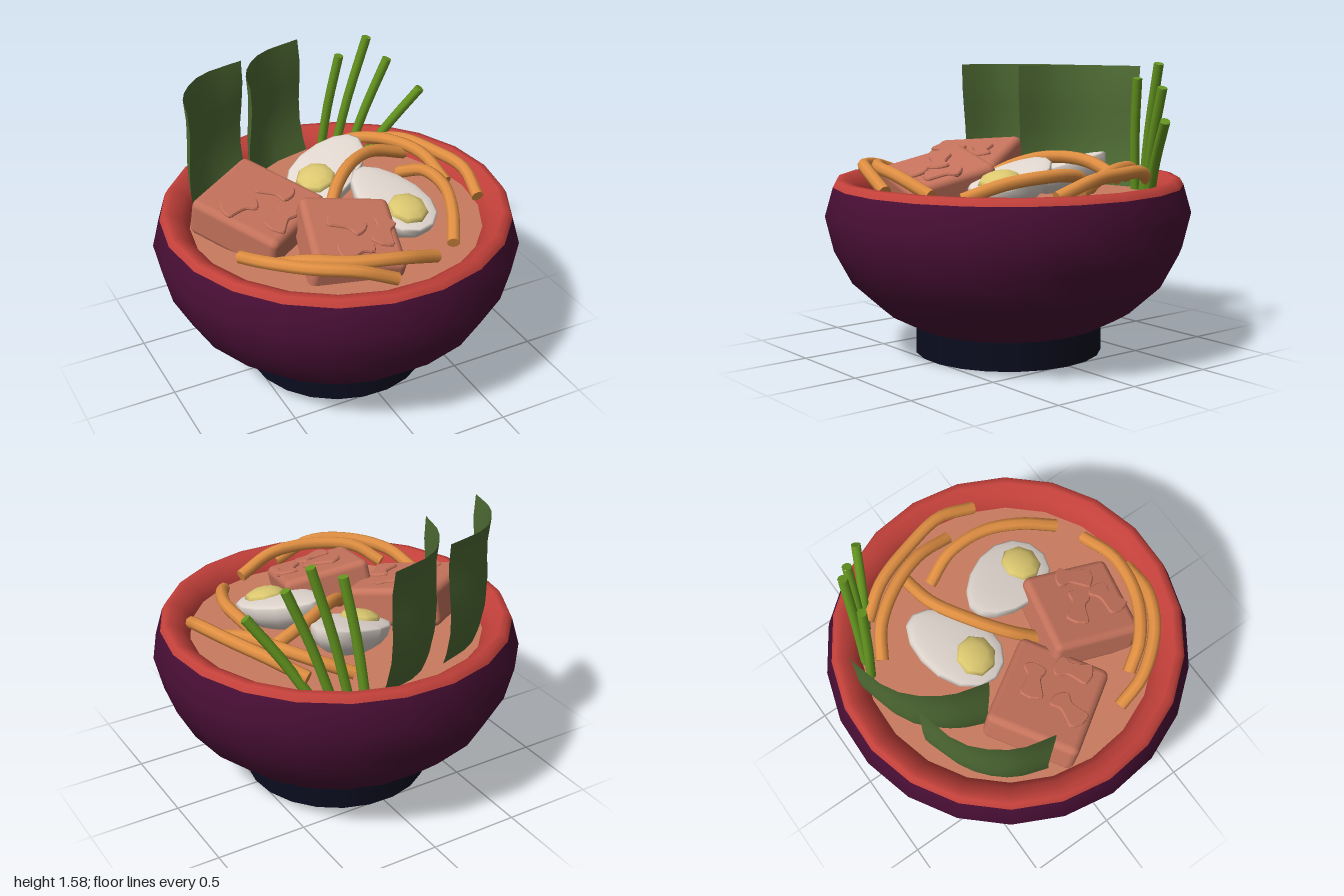
import * as THREE from 'three';
import { RoundedBoxGeometry } from 'three/addons/geometries/RoundedBoxGeometry.js';

const mat = (name, color, side = THREE.FrontSide) => {
  const m = new THREE.MeshStandardMaterial({ color, side });
  m.name = name;
  return m;
};
const V = (p) => new THREE.Vector3(...p);
const UP = new THREE.Vector3(0, 1, 0);

export function createModel() {
  const model = new THREE.Group();
  model.name = 'noodleBowl';
  const M = {
    lacquer: mat('plum lacquer', 0x4a0f36),
    foot: mat('dark navy', 0x0b0c1e),
    rim: mat('red lining', 0xc2403a),
    broth: mat('broth', 0xc97a5f),
    pork: mat('pork', 0xc5735c),
    noodle: mat('noodle', 0xe08f42),
    nori: mat('seaweed green', 0x4f6b34, THREE.DoubleSide),
    onion: mat('spring onion green', 0x64951f),
    white: mat('egg white', 0xe2d8d0),
    yolk: mat('egg yolk', 0xdcc870),
  };
  const add = (name, geo, material, parent = model) => {
    const mesh = new THREE.Mesh(geo, material);
    mesh.name = name;
    parent.add(mesh);
    return mesh;
  };

  // Bowl, foot and lining share one set of sides
  const SIDES = 22, START = 0.113;
  const lathe = (pts) =>
    new THREE.LatheGeometry(pts.map((p) => new THREE.Vector2(...p)), SIDES, START);
  add('bowl', lathe([[0.5, 0.15], [0.52, 0.155], [0.69, 0.245], [0.86, 0.4], [0.955, 0.58],
    [1, 0.77], [0.955, 0.925]]), M.lacquer);
  add('footWall', lathe([[0.515, 0], [0.512, 0.165]]), M.foot);
  add('footBase', lathe([[0, 0], [0.515, 0]]), M.foot);
  add('rimLining', lathe([[0.955, 0.925], [0.935, 0.96], [0.9, 0.962], [0.84, 0.925],
    [0.8, 0.87], [0.78, 0.8]]), M.rim);
  add('broth', lathe([[0.8, 0.86], [0, 0.86]]), M.broth);

  // A group lying on a sloped plane, turned by yaw
  const tilted = (name, pos, normal, yaw) => {
    const g = new THREE.Group();
    g.name = name;
    g.position.set(...pos);
    g.quaternion.setFromUnitVectors(UP, V(normal).normalize())
      .multiply(new THREE.Quaternion().setFromAxisAngle(UP, yaw));
    model.add(g);
    return g;
  };

  // Pork slabs with raised bone-shaped marks
  const bone = new THREE.Shape();
  bone.setFromPoints(new THREE.SplineCurve([[-0.1, 0], [-0.08, 0.055], [-0.03, 0.045], [0.03, 0.035],
    [0.08, 0.06], [0.1, 0.01], [0.075, -0.05], [0.02, -0.03], [-0.04, -0.045], [-0.085, -0.055],
    [-0.1, 0]].map((p) => new THREE.Vector2(...p))).getPoints(30));
  const markGeo = new THREE.ExtrudeGeometry(bone, { depth: 0.012, bevelEnabled: true,
    bevelThickness: 0.008, bevelSize: 0.006, bevelSegments: 1 }).rotateX(-Math.PI / 2);
  const pork = (name, pos, normal, yaw, w, d, marks) => {
    const g = tilted(name, pos, normal, yaw);
    add('slab', new RoundedBoxGeometry(w, 0.22, d, 2, 0.04), M.pork, g).position.y = -0.11;
    const c = Math.cos(yaw), s = Math.sin(yaw);
    for (const [dx, dz, turn] of marks) {
      const m = add('mark', markGeo, M.pork, g);
      m.position.set(dx * c - dz * s, -0.005, dx * s + dz * c);
      m.rotation.y = turn - yaw;
    }
  };
  pork('backPork', [-0.43, 1.07, -0.04], [0.05, 1, 0.22], 0.58, 0.51, 0.54,
    [[-0.13, 0.03, 0.05], [0.1, -0.03, -0.8], [0.04, 0.19, 0.65]]);
  pork('frontPork', [-0.11, 1.04, 0.41], [0.1, 1, 0.28], -0.25, 0.49, 0.5,
    [[-0.02, -0.04, -0.75], [0.15, 0.06, 1.0], [-0.05, 0.14, 0.15]]);

  // Egg halves: sphere flattened on top and narrowed toward the tip (-z)
  const eggGeo = new THREE.SphereGeometry(1, 14, 10);
  const ep = eggGeo.attributes.position;
  for (let i = 0; i < ep.count; i++) {
    const x = ep.getX(i), y = ep.getY(i), z = ep.getZ(i);
    ep.setXYZ(i, x * 0.19 * (1 + 0.17 * z), y > 0 ? y * 0.025 : y * 0.16, z * 0.285);
  }
  eggGeo.computeVertexNormals();
  const yolkGeo = new THREE.SphereGeometry(0.115, 8, 6).scale(1, 0.42, 1);
  const egg = (name, pos, normal, yaw) => {
    const g = tilted(name, pos, normal, yaw);
    add('white', eggGeo, M.white, g);
    add('yolk', yolkGeo, M.yolk, g).position.set(0, 0.015, 0.12);
  };
  egg('backEgg', [0.09, 1.01, -0.28], [-0.22, 1, 0.2], -1.05);
  egg('frontEgg', [0.25, 1.0, 0.17], [0.05, 1, 0.26], 0.27);

  // Round strand with closed ends
  const strand = (name, pts, r, material, steps) => {
    const g = new THREE.Group();
    g.name = name;
    model.add(g);
    const curve = new THREE.CatmullRomCurve3(pts.map(V));
    add('strand', new THREE.TubeGeometry(curve, steps, r, 8), material, g);
    for (const t of [0, 1]) {
      const cap = add('end', new THREE.CircleGeometry(r, 8), material, g);
      cap.position.copy(curve.getPoint(t));
      cap.quaternion.setFromUnitVectors(new THREE.Vector3(0, 0, 1),
        curve.getTangent(t).multiplyScalar(t ? 1 : -1));
    }
  };
  const noodles = [
    [[-0.67, 0.94, 0.25], [-0.62, 1.0, 0.43], [-0.46, 1.03, 0.63], [-0.26, 1.02, 0.74], [-0.05, 0.93, 0.77]],
    [[-0.55, 0.95, 0.4], [-0.45, 1.02, 0.54], [-0.25, 1.03, 0.67], [0, 1.01, 0.72], [0.23, 0.93, 0.68]],
    [[-0.1, 0.92, 0.13], [-0.01, 1.01, 0], [0.15, 1.07, -0.14], [0.35, 1.06, -0.25], [0.58, 0.98, -0.28]],
    [[0.27, 0.94, -0.63], [0.42, 1.0, -0.53], [0.55, 1.03, -0.35], [0.63, 1.02, -0.15], [0.66, 0.94, 0.06]],
    [[0.5, 0.95, -0.57], [0.62, 1.01, -0.4], [0.71, 1.02, -0.15], [0.76, 1.01, 0.08], [0.73, 0.94, 0.28]],
    [[0.49, 0.93, -0.17], [0.55, 1.01, 0], [0.55, 1.02, 0.22], [0.48, 0.99, 0.42], [0.38, 0.92, 0.6]],
  ];
  noodles.forEach((p, i) => strand('noodle' + (i + 1), p, 0.035, M.noodle, 18));

  // Spring onion stalks: base, tip
  const stalks = [
    [[0.26, 0.83, -0.72], [0.345, 1.49, -0.64]],
    [[0.34, 0.83, -0.7], [0.517, 1.575, -0.63]],
    [[0.41, 0.83, -0.65], [0.615, 1.45, -0.56]],
    [[0.49, 0.83, -0.6], [0.765, 1.285, -0.43]],
  ];
  stalks.forEach(([a, b], i) => {
    const mid = a.map((v, k) => (v + b[k]) / 2);
    mid[0] -= 0.012;
    strand('springOnion' + (i + 1), [a, mid, b], 0.027, M.onion, 6);
  });

  // Seaweed sheets lofted from a bottom edge to a top edge, with a slight wave
  const sheet = (name, bottom, top) => {
    const edge = (pts, y) => new THREE.CatmullRomCurve3(pts.map(([x, z]) => V([x, y, z])));
    const lo = edge(bottom, 0.8), hi = edge(top, 1.55);
    const geo = new THREE.PlaneGeometry(1, 1, 8, 6);
    const p = geo.attributes.position;
    for (let i = 0; i < p.count; i++) {
      const u = p.getX(i) + 0.5, v = p.getY(i) + 0.5;
      const q = lo.getPoint(u).lerp(hi.getPoint(u), v);
      const wave = 0.025 * Math.sin(v * Math.PI * 1.6);
      p.setXYZ(i, q.x - wave * 0.6, q.y, q.z - wave);
    }
    geo.computeVertexNormals();
    add(name, geo, M.nori);
  };
  sheet('leftSeaweed', [[-0.7, -0.23], [-0.63, -0.41], [-0.47, -0.56], [-0.24, -0.65]],
    [[-0.745, -0.26], [-0.69, -0.46], [-0.52, -0.65], [-0.245, -0.73]]);
  sheet('rightSeaweed', [[-0.32, -0.33], [-0.24, -0.5], [-0.07, -0.67], [0.2, -0.75]],
    [[-0.345, -0.37], [-0.28, -0.58], [-0.11, -0.77], [0.16, -0.855]]);

  return model;
}
